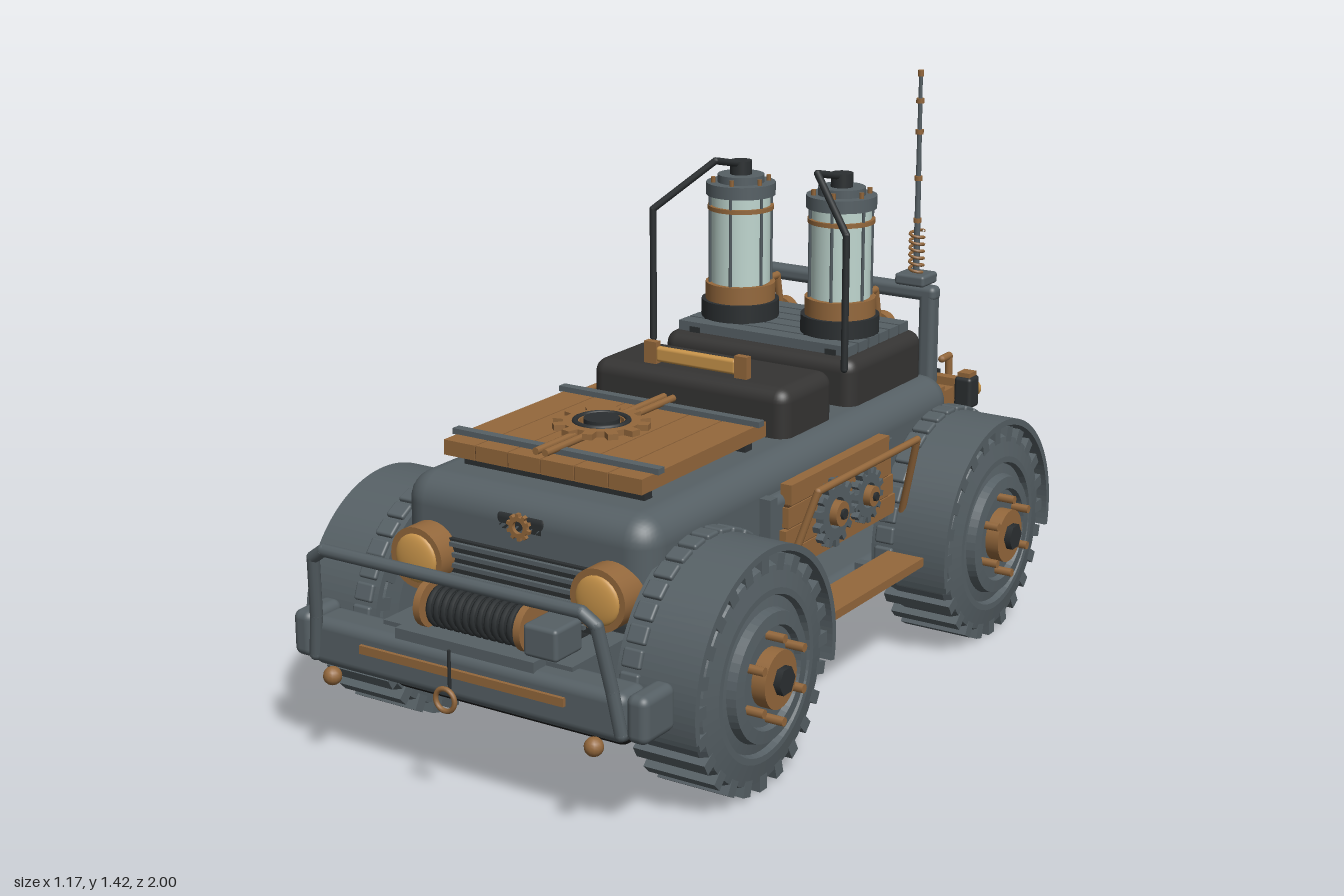
import * as THREE from 'three';
import { RoundedBoxGeometry } from 'three/addons/geometries/RoundedBoxGeometry.js';

const mat = (name, color, side = THREE.FrontSide) => {
  const m = new THREE.MeshStandardMaterial({ color, side });
  m.name = name;
  return m;
};

export function createModel() {
  const root = new THREE.Group();
  root.name = 'expeditionTruck';
  const steel = mat('steel grey', 0x566065), brown = mat('bronze brown', 0x94683c);
  const gold = mat('lamp gold', 0xc8944a), black = mat('soft black', 0x353433);
  const under = mat('underbody black', 0x1c1c1c), dark = mat('dark metal', 0x2b2f31);
  const glass = mat('pale glass', 0xbfd6cf), dial = mat('dial white', 0xe4e6dc);
  const seam = mat('seam brown', 0x5c4026);

  const V = (x, y, z) => new THREE.Vector3(x, y, z);
  const add = (name, geo, m, x = 0, y = 0, z = 0, rx = 0, ry = 0, rz = 0, parent = root) => {
    const mesh = new THREE.Mesh(geo, m);
    mesh.name = name;
    mesh.position.set(x, y, z);
    mesh.rotation.set(rx, ry, rz);
    parent.add(mesh);
    return mesh;
  };
  const box = (w, h, d) => new THREE.BoxGeometry(w, h, d);
  const rbox = (w, h, d, r) => new RoundedBoxGeometry(w, h, d, 4, r);
  const cyl = (r, h, n = 24, r2 = r) => new THREE.CylinderGeometry(r2, r, h, n);
  const H = Math.PI / 2;
  // Straight-segment bent pipe with ball joints at the corners
  const pipe = (name, pts, r, m) => {
    const g = new THREE.Group();
    g.name = name;
    pts.forEach((p, i) => {
      add('joint', new THREE.SphereGeometry(r, 10, 8), m, p.x, p.y, p.z, 0, 0, 0, g);
      if (!i) return;
      const d = p.clone().sub(pts[i - 1]);
      const mid = p.clone().add(pts[i - 1]).multiplyScalar(0.5);
      const seg = add('run', cyl(r, d.length(), 10), m, mid.x, mid.y, mid.z, 0, 0, 0, g);
      seg.quaternion.setFromUnitVectors(V(0, 1, 0), d.normalize());
    });
    root.add(g);
  };
  // Toothed wheel facing +z, with a bored centre
  const gear = (r, n, depth) => {
    const s = new THREE.Shape();
    for (let i = 0; i < n; i++) [[0, 0.78], [0.3, 0.78], [0.4, 1], [0.8, 1], [0.9, 0.78]].forEach(([f, k], j) => {
      const a = (i + f) / n * Math.PI * 2;
      s[i || j ? 'lineTo' : 'moveTo'](Math.cos(a) * r * k, Math.sin(a) * r * k);
    });
    s.holes.push(new THREE.Path().absarc(0, 0, r * 0.45, 0, Math.PI * 2, true));
    return new THREE.ExtrudeGeometry(s, { depth, bevelEnabled: false, curveSegments: 16 });
  };

  // Hull and underbody
  add('hull', rbox(0.69, 0.29, 1.42, 0.07), steel, 0, 0.505, 0);
  add('hullBelt', rbox(0.74, 0.2, 0.56, 0.02), steel, 0, 0.475, -0.04);
  add('chassis', rbox(0.68, 0.08, 1.62, 0.03), steel, 0, 0.225, -0.02);
  add('underTray', rbox(0.66, 0.09, 1.6, 0.03), under, 0, 0.19, -0.02);
  for (const s of [1, -1]) {
    add('sillTube', cyl(0.022, 0.6, 12), steel, s * 0.36, 0.225, -0.04, H);
    for (const z of [0.77, -0.8]) add('frameRail', box(0.08, 0.12, 0.22), steel, s * 0.22, 0.3, z);
  }

  // Wheels and arched fenders
  const tyreProfile = [[0, -0.09], [0.2, -0.09], [0.25, -0.085], [0.258, -0.06], [0.258, 0.07], [0.25, 0.09],
    [0.2, 0.1], [0.185, 0.1], [0.18, 0.085], [0.155, 0.09], [0.15, 0.112], [0.12, 0.115], [0.115, 0.1], [0, 0.1]]
    .map(p => new THREE.Vector2(...p));
  const arch = new THREE.Shape();
  arch.absarc(0, 0, 0.298, -0.2, Math.PI + 0.2, false);
  arch.absarc(0, 0, 0.282, Math.PI + 0.2, -0.2, true);
  const archGeo = new THREE.ExtrudeGeometry(arch, { depth: 0.205, bevelEnabled: false, curveSegments: 32 });
  for (const z of [0.528, -0.603]) {
    add('axle', cyl(0.04, 0.75, 12), dark, 0, 0.279, z, 0, 0, H);
    for (const s of [1, -1]) {
      const w = new THREE.Group();
      w.name = 'wheel';
      w.position.set(s * 0.435, 0.279, z);
      w.rotation.z = -s * H;
      root.add(w);
      const tyreGeo = new THREE.LatheGeometry(tyreProfile, 48).toNonIndexed();
      tyreGeo.computeVertexNormals();
      add('tyre', tyreGeo, steel, 0, 0, 0, 0, 0, 0, w);
      for (let i = 0; i < 24; i++) {
        const a = i / 24 * Math.PI * 2;
        add('treadLug', box(0.04, 0.185, 0.03), steel, Math.cos(a) * 0.255, 0, Math.sin(a) * 0.255, 0, -a, 0, w);
      }
      add('hub', cyl(0.068, 0.04, 28), brown, 0, 0.115, 0, 0, 0, 0, w);
      add('hubNut', cyl(0.034, 0.03, 6), dark, 0, 0.137, 0, 0, 0, 0, w);
      for (let i = 0; i < 6; i++) {
        const a = i / 6 * Math.PI * 2;
        add('wheelBolt', cyl(0.011, 0.05, 8), brown, Math.cos(a) * 0.098, 0.12, Math.sin(a) * 0.098, 0, 0, 0, w);
      }
      add('fender', archGeo, steel, s > 0 ? 0.333 : -0.538, 0.279, z, 0, H, 0);
      for (let i = 0; i < 19; i++) {
        const a = i / 18 * Math.PI;
        add('fenderLug', rbox(0.05, 0.016, 0.043, 0.006), steel, s * 0.37, 0.279 + Math.sin(a) * 0.3, z + Math.cos(a) * 0.3, H - a);
      }
    }
  }

  // Front bumper, bull bar and tow gear
  add('frontBumper', rbox(0.86, 0.115, 0.1, 0.025), steel, 0, 0.292, 0.885);
  add('bumperStrip', box(0.56, 0.02, 0.012), brown, 0, 0.305, 0.938);
  for (const s of [1, -1]) {
    add('bumperEnd', rbox(0.055, 0.11, 0.12, 0.02), steel, s * 0.458, 0.3, 0.875);
    add('towBall', new THREE.SphereGeometry(0.022, 14, 10), brown, s * 0.36, 0.225, 0.945);
  }
  pipe('bullBar', [V(-0.42, 0.26, 0.93), V(-0.405, 0.36, 0.94), V(-0.385, 0.51, 0.965), V(-0.35, 0.535, 0.97),
    V(0.35, 0.535, 0.97), V(0.385, 0.51, 0.965), V(0.405, 0.36, 0.94), V(0.42, 0.26, 0.93)], 0.015, steel);
  for (const s of [1, -1]) {
    add('towRing', new THREE.TorusGeometry(0.026, 0.006, 8, 24), brown, 0, s > 0 ? 0.265 : 0.28, s * 0.992);
    add('towCable', cyl(0.004, 0.09, 6), dark, 0, 0.33, s * 0.975);
  }

  // Winch
  add('winchPlate', box(0.38, 0.025, 0.17), steel, 0, 0.358, 0.84);
  add('winchDrum', cyl(0.042, 0.24, 20), dark, 0, 0.42, 0.86, 0, 0, H);
  for (let i = 0; i < 12; i++)
    add('winchWrap', new THREE.TorusGeometry(0.043, 0.007, 6, 20), dark, -0.11 + i * 0.02, 0.42, 0.86, 0, H);
  for (const x of [-0.137, 0.137]) add('winchFlange', cyl(0.055, 0.018, 24), brown, x, 0.42, 0.86, 0, 0, H);
  add('winchMotor', rbox(0.09, 0.075, 0.1, 0.01), steel, 0.195, 0.41, 0.86);

  // Nose: grille, headlights and vent badge
  add('grille', box(0.4, 0.15, 0.03), dark, 0, 0.445, 0.707);
  for (let i = 0; i < 6; i++) add('grilleSlat', box(0.37, 0.01, 0.02), steel, 0, 0.385 + i * 0.025, 0.722);
  for (const s of [1, -1]) {
    add('headlightHousing', cyl(0.073, 0.09, 32), brown, s * 0.25, 0.475, 0.725, H);
    add('headlightLens', new THREE.SphereGeometry(0.058, 24, 12, 0, Math.PI * 2, 0, H).scale(1, 0.25, 1), gold, s * 0.25, 0.475, 0.77, H);
  }
  add('noseVent', rbox(0.15, 0.06, 0.04, 0.018), dark, 0, 0.58, 0.69);
  add('noseGear', gear(0.032, 10, 0.012), brown, 0, 0.58, 0.708);

  // Hood rack of planks with cross bars and gear
  for (let i = 0; i < 6; i++) {
    add('hoodPlank', box(0.088, 0.036, 0.52), brown, -0.229 + i * 0.0916, 0.698, 0.37);
    if (i) add('plankSeam', box(0.006, 0.03, 0.515), seam, -0.275 + i * 0.0916, 0.697, 0.37);
  }
  for (const z of [0.15, 0.57]) {
    add('rackBar', box(0.57, 0.014, 0.024), steel, 0, 0.722, z);
    add('rackFoot', box(0.5, 0.05, 0.03), dark, 0, 0.66, z);
  }
  for (const x of [-0.013, 0.013]) add('rackRod', cyl(0.009, 0.52, 8), brown, x, 0.732, 0.37, H);
  add('hoodGear', gear(0.115, 12, 0.014), brown, 0, 0.732, 0.39, -H);
  add('hoodGearRing', new THREE.TorusGeometry(0.062, 0.008, 8, 28), dark, 0, 0.744, 0.39, H);
  add('hoodGearHub', cyl(0.042, 0.022, 24), dark, 0, 0.742, 0.39);

  // Seat with grab handle, and rear pack
  add('seat', rbox(0.56, 0.16, 0.235, 0.035), black, 0, 0.69, -0.083);
  add('grabHandle', rbox(0.23, 0.038, 0.02, 0.008), gold, 0, 0.795, -0.015);
  for (const s of [1, -1]) add('handlePost', box(0.035, 0.06, 0.02), brown, s * 0.13, 0.795, -0.015);
  add('rearPack', rbox(0.56, 0.16, 0.375, 0.035), black, 0, 0.69, -0.473);
  for (let i = 0; i < 6; i++) add('packSlat', box(0.5, 0.025, 0.045), steel, 0, 0.782, -0.34 - i * 0.053);
  for (const s of [1, -1]) add('packRail', box(0.03, 0.02, 0.32), dark, s * 0.2, 0.773, -0.473);

  // Glass tanks, their feed pipes and gauges
  for (const s of [1, -1]) {
    const x = s * 0.148, z = -0.452;
    const part = (name, r, y0, y1, m) => add(name, cyl(r, y1 - y0, 32), m, x, (y0 + y1) / 2, z);
    part('tankFoot', 0.1, 0.79, 0.84, dark);
    part('tankBase', 0.09, 0.84, 0.885, brown);
    part('tankGlass', 0.076, 0.885, 1.115, glass);
    part('tankBand', 0.085, 1.075, 1.086, brown);
    part('tankCap', 0.089, 1.113, 1.145, steel);
    part('tankDome', 0.06, 1.145, 1.165, steel);
    part('tankValve', 0.028, 1.165, 1.2, dark);
    for (let i = 0; i < 6; i++) {
      const a = i / 6 * Math.PI * 2 + 0.3, c = Math.cos(a) * 0.08, d = Math.sin(a) * 0.08;
      add('tankRod', cyl(0.004, 0.24, 6), steel, x + c, 0.995, z + d);
      add('tankBolt', cyl(0.006, 0.02, 6), brown, x + c * 0.9, 1.15, z + d * 0.9);
    }
    pipe('feedPipe', [V(x, 1.19, z), V(x, 1.218, -0.33), V(s * 0.28, 1.095, -0.245), V(s * 0.28, 0.76, -0.245)], 0.009, dark);
    pipe('drainPipe', [V(x, 0.862, -0.53), V(x, 0.862, -0.635), V(x, 0.72, -0.665)], 0.01, brown);
    add('gaugeRim', cyl(0.036, 0.03, 24), brown, x, 0.76, -0.672, H);
    add('gaugeFace', cyl(0.029, 0.006, 24), dial, x, 0.76, -0.688, H);
    add('gaugeNeedle', box(0.005, 0.025, 0.003), dark, x, 0.768, -0.692, 0, 0, 0.5);
  }

  // Roll bar and antenna
  for (const s of [1, -1]) add('rollBarPost', rbox(0.045, 0.32, 0.045, 0.015), steel, s * 0.265, 0.71, -0.712);
  add('rollBarTop', rbox(0.58, 0.04, 0.045, 0.015), steel, 0, 0.853, -0.712);
  add('rollBarBrace', cyl(0.014, 0.52, 10), steel, 0, 0.66, -0.712, 0, 0, H);
  add('antennaBase', rbox(0.085, 0.03, 0.08, 0.008), steel, 0.225, 0.888, -0.712);
  const coil = Array.from({ length: 61 }, (_, i) => V(Math.cos(i * 0.63) * 0.018, i / 60 * 0.11, Math.sin(i * 0.63) * 0.018));
  add('antennaSpring', new THREE.TubeGeometry(new THREE.CatmullRomCurve3(coil), 120, 0.004, 6), brown, 0.225, 0.905, -0.712);
  add('antennaMast', cyl(0.009, 0.51, 8, 0.005), steel, 0.225, 1.16, -0.712);
  for (const y of [1.04, 1.15, 1.27, 1.35]) add('antennaBand', cyl(0.011, 0.012, 8), brown, 0.225, y, -0.712);
  add('antennaTip', cyl(0.008, 0.016, 8), brown, 0.225, 1.42, -0.712);

  // Tail rack of planks, lanterns and rear bumper
  for (let i = 0; i < 4; i++) {
    add('tailPlank', box(0.56, 0.052, 0.03), brown, 0, 0.395 + i * 0.057, -0.862);
    if (i) add('tailSeam', box(0.55, 0.008, 0.022), seam, 0, 0.3665 + i * 0.057, -0.862);
  }
  add('tailInnerBoard', box(0.57, 0.22, 0.06), brown, 0, 0.48, -0.745);
  add('tailInnerTrim', box(0.4, 0.02, 0.05), brown, 0, 0.59, -0.762);
  for (const s of [1, -1]) {
    add('tailSide', box(0.12, 0.2, 0.1), brown, s * 0.215, 0.47, -0.81);
    add('tailStrap', box(0.025, 0.24, 0.012), dark, s * 0.2, 0.48, -0.883);
    add('lantern', rbox(0.05, 0.085, 0.055, 0.01), dark, s * 0.315, 0.565, -0.842);
    add('lanternLens', cyl(0.022, 0.02, 16), gold, s * 0.315, 0.565, -0.875, H);
    add('lanternCap', box(0.035, 0.014, 0.04), brown, s * 0.315, 0.612, -0.842);
    pipe('tailHandle', [V(s * 0.22, 0.63, -0.88), V(s * 0.22, 0.63, -0.922), V(s * 0.22, 0.46, -0.922), V(s * 0.22, 0.46, -0.88)], 0.01, brown);
  }
  add('tailGear', gear(0.075, 12, 0.02), dark, 0, 0.485, -0.905);
  add('tailGearHub', cyl(0.025, 0.05, 16), brown, 0, 0.485, -0.9, H);
  add('rearBumper', rbox(0.92, 0.11, 0.085, 0.03), steel, 0, 0.295, -0.918);

  // Side panels with paired gears, rails and running boards
  for (const s of [1, -1]) {
    for (let i = 0; i < 4; i++) {
      add('sidePlank', box(0.03, 0.049, 0.54 - i * 0.024), brown, s * 0.372, 0.415 + i * 0.053, -0.052);
      if (i) add('sideSeam', box(0.022, 0.006, 0.48), seam, s * 0.372, 0.3885 + i * 0.053, -0.052);
    }
    for (const [z, r] of [[0.015, 0.085], [-0.14, 0.07]]) {
      add('sideGear', gear(r, 14, 0.02), steel, s * 0.405 - 0.01, 0.49, z, 0, H);
      add('sideGearHub', cyl(r * 0.36, 0.07, 20), brown, s * 0.395, 0.49, z, 0, 0, H);
      add('sideGearNut', cyl(r * 0.16, 0.085, 6), dark, s * 0.395, 0.49, z, 0, 0, H);
    }
    pipe('sideRail', [V(s * 0.4, 0.39, 0.225), V(s * 0.462, 0.6, 0.19), V(s * 0.462, 0.6, -0.29), V(s * 0.4, 0.39, -0.335)], 0.009, brown);
    add('runningBoard', box(0.1, 0.022, 0.48), brown, s * 0.435, 0.285, -0.055);
    for (const z of [0.13, -0.24]) add('boardBracket', box(0.12, 0.03, 0.03), steel, s * 0.39, 0.26, z);
    for (const z of [0.24, -0.31]) add('cornerPost', box(0.03, 0.21, 0.03), steel, s * 0.36, 0.475, z);
  }
  return root;
}
